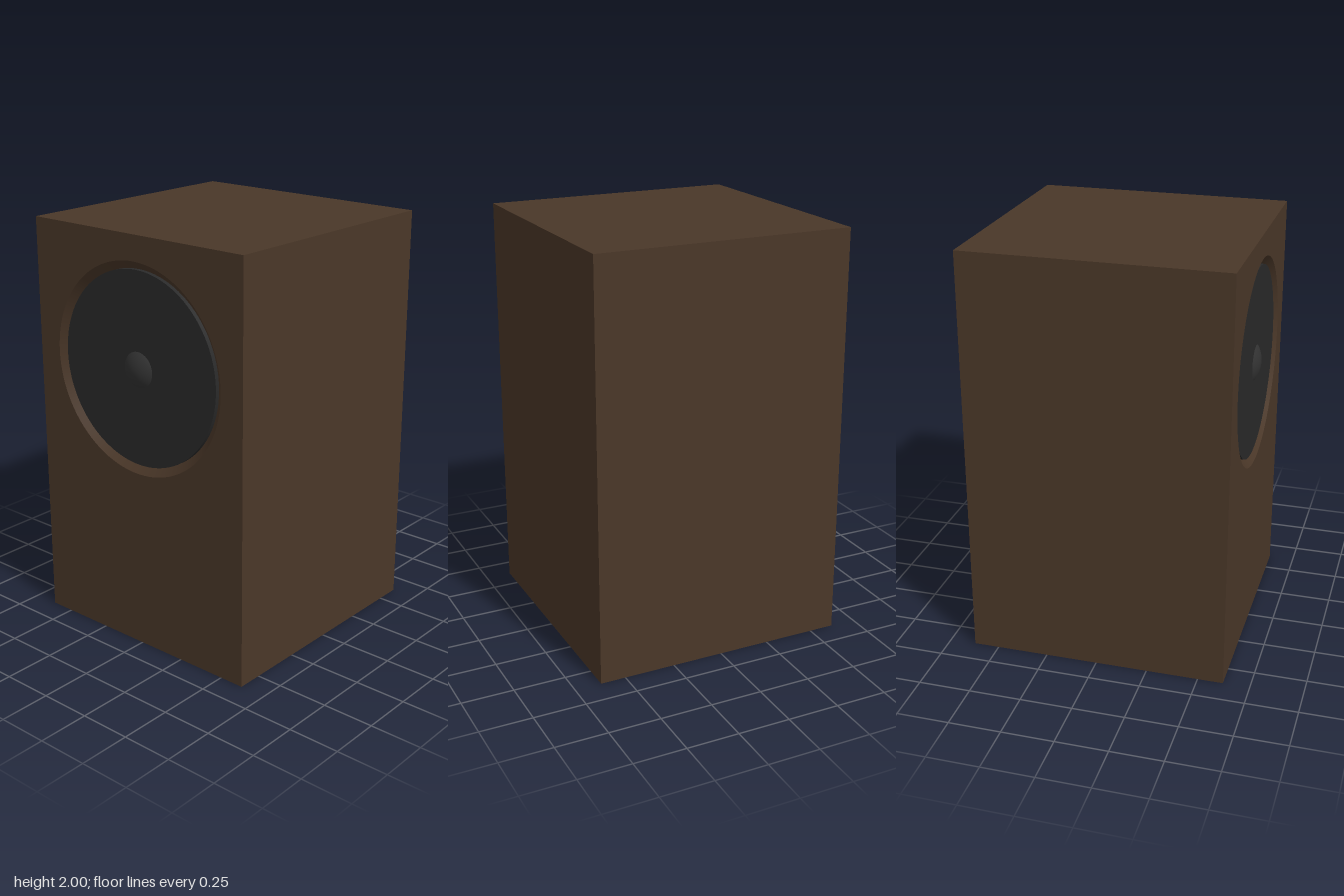
import * as THREE from 'three';

const W = 1.245, H = 2, D = 1.245;
const FRONT = D / 2;
const CONE_Y = 1.38, RIM_R = 0.5, CONE_R = 0.46;
const SEGMENTS = 96;

const wood = new THREE.MeshStandardMaterial({ color: 0x4a3728 });
const black = new THREE.MeshStandardMaterial({ color: 0x2a2a2a });
const charcoal = new THREE.MeshStandardMaterial({ color: 0x333333 });

function part(name, geometry, material, parent) {
  const mesh = new THREE.Mesh(geometry, material);
  mesh.name = name;
  parent.add(mesh);
  return mesh;
}

// Lathe around the z axis; profile points are [radius, z], running so that faces look towards +z
function turned(profile) {
  const points = profile.map(([r, z]) => new THREE.Vector2(r, z));
  return new THREE.LatheGeometry(points, SEGMENTS).rotateX(Math.PI / 2);
}

export function createModel() {
  const model = new THREE.Group();
  model.name = 'loudspeaker';

  // Cabinet sides, top, bottom and back: a box without its front face
  const shell = new THREE.BoxGeometry(W, H, D);
  const index = Array.from(shell.index.array);
  index.splice(24, 6);
  shell.setIndex(index);
  shell.clearGroups();
  part('cabinet', shell, wood, model).position.y = H / 2;

  // Front panel with the round driver opening
  const panel = new THREE.Shape();
  panel.moveTo(-W / 2, 0);
  panel.lineTo(W / 2, 0);
  panel.lineTo(W / 2, H);
  panel.lineTo(-W / 2, H);
  panel.closePath();
  const opening = new THREE.Path();
  opening.absarc(0, CONE_Y, RIM_R, 0, Math.PI * 2, true);
  panel.holes.push(opening);
  part('frontPanel', new THREE.ShapeGeometry(panel, SEGMENTS / 2), wood, model).position.z = FRONT;

  const driver = new THREE.Group();
  driver.name = 'driver';
  driver.position.set(0, CONE_Y, FRONT);
  model.add(driver);

  // Bevelled edge of the opening, sloping inwards
  const bevel = part('openingBevel', turned([[RIM_R, 0], [CONE_R - 0.01, -0.045]]), wood, driver);
  bevel.material = wood.clone();
  bevel.material.side = THREE.DoubleSide;

  // Flat disc set just behind the front panel
  const disc = new THREE.CylinderGeometry(CONE_R, CONE_R, 0.03, SEGMENTS).rotateX(Math.PI / 2);
  part('speakerDisc', disc, black, driver).position.z = -0.03;

  // Shallow dust cap in the centre: a spherical cap
  const capR = 0.085, capH = 0.025;
  const sphereR = (capR * capR + capH * capH) / (2 * capH);
  const cap = new THREE.SphereGeometry(sphereR, 48, 10, 0, Math.PI * 2, 0, Math.asin(capR / sphereR))
    .rotateX(Math.PI / 2);
  part('dustCap', cap, charcoal, driver).position.z = -0.015 + capH - sphereR;

  return model;
}
